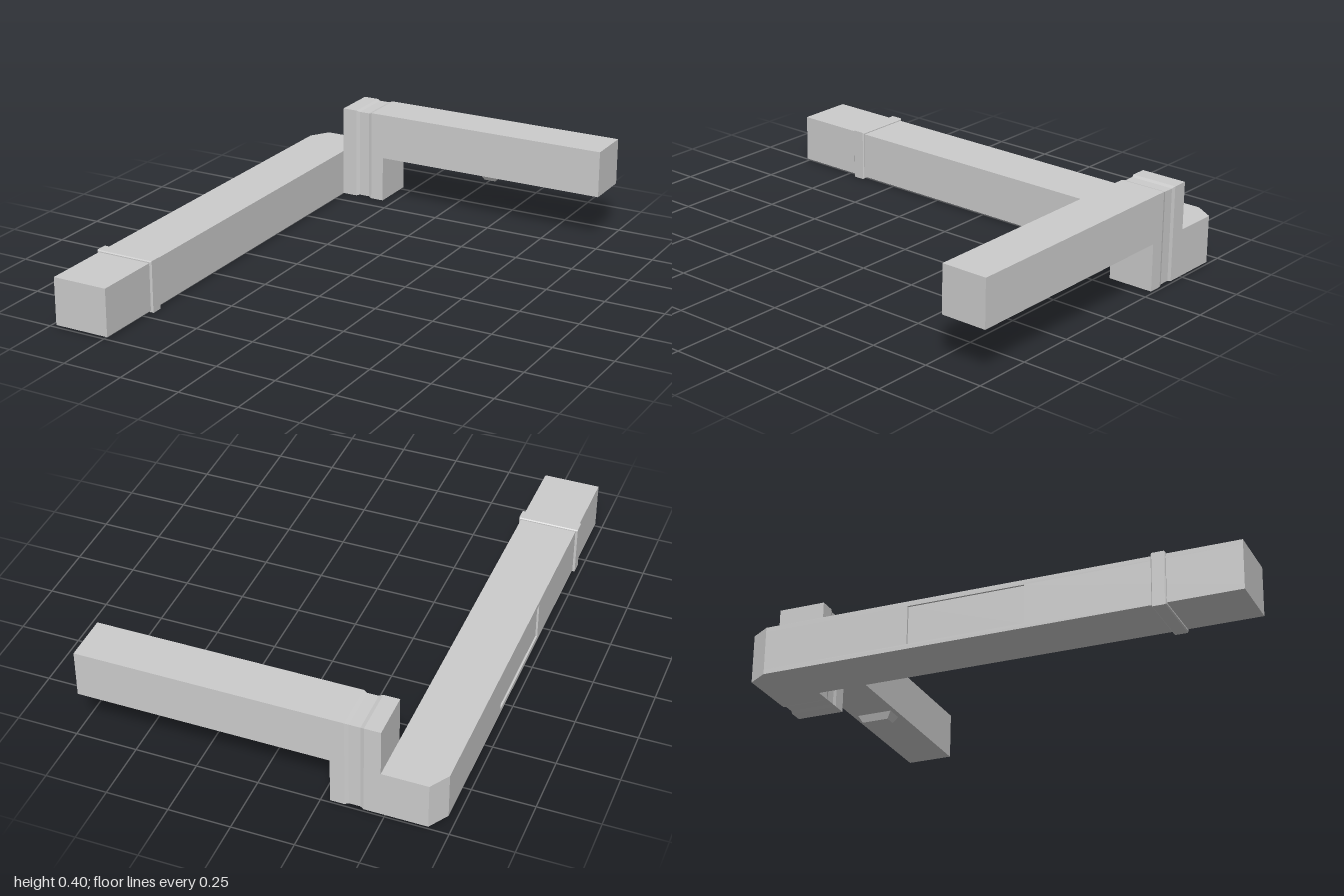
import * as THREE from 'three';

const grey = new THREE.MeshStandardMaterial({ color: 0xcccccc, flatShading: true });

// Solid through rectangular sections [t, u0, u1, v0, v1] along an axis.
// axis 0: (u,v) = (y,z), axis 1: (z,x), axis 2: (x,y)
function loft(axis, sections) {
  const pos = [];
  const point = (t, u, v) => {
    const p = [0, 0, 0];
    p[axis] = t;
    p[(axis + 1) % 3] = u;
    p[(axis + 2) % 3] = v;
    return p;
  };
  const loops = sections.map(([t, u0, u1, v0, v1]) =>
    [point(t, u0, v0), point(t, u1, v0), point(t, u1, v1), point(t, u0, v1)]);
  const quad = (a, b, c, d) => pos.push(...a, ...b, ...c, ...a, ...c, ...d);
  for (let i = 0; i < loops.length - 1; i++) {
    const a = loops[i], b = loops[i + 1];
    for (let k = 0; k < 4; k++) {
      const n = (k + 1) % 4;
      quad(a[k], a[n], b[n], b[k]);
    }
  }
  const first = loops[0], last = loops[loops.length - 1];
  quad(first[0], first[3], first[2], first[1]);
  quad(...last);
  const g = new THREE.BufferGeometry();
  g.setAttribute('position', new THREE.Float32BufferAttribute(pos, 3));
  g.computeVertexNormals();
  return g;
}

// Floor outline of [x, z] points raised from y0 to y1
function slab(outline, y0, y1) {
  const shape = new THREE.Shape(outline.map(([x, z]) => new THREE.Vector2(x, -z)));
  return new THREE.ExtrudeGeometry(shape, { depth: y1 - y0, bevelEnabled: false })
    .rotateX(-Math.PI / 2)
    .translate(0, y0, 0);
}

export function createModel() {
  const model = new THREE.Group();
  const add = (name, geometry, parent = model) => {
    const mesh = new THREE.Mesh(geometry, grey);
    mesh.name = name;
    parent.add(mesh);
  };

  // Long duct with a cut outer corner; its middle layer holds the side recess
  const longDuct = new THREE.Group();
  longDuct.name = 'longDuct';
  model.add(longDuct);
  const X0 = -0.72, X1 = -0.485;
  const corner = [[X0, -0.92], [-0.67, -1], [X1, -1], [X1, 1], [X0, 1]];
  const recess = [[X0, 0.157], [X0 + 0.008, 0.157], [X0 + 0.008, -0.316], [X0, -0.316]];
  add('ductBottom', slab(corner, 0.01, 0.03), longDuct);
  add('ductMiddle', slab([...corner, ...recess], 0.03, 0.187), longDuct);
  add('ductTop', slab(corner, 0.187, 0.207), longDuct);

  // Flange collar with softened edges
  const collar = (z, d) => [z, -0.729 + d, -0.476 - d, d, 0.215 - d];
  add('collar', loft(2, [
    collar(0.654, 0.004), collar(0.658, 0), collar(0.706, 0), collar(0.71, 0.004),
  ]));

  // Riser with a shallow groove, stepping into the raised cross duct
  const arm = (x, bottom, d = 0) => [x, bottom + d, 0.404 - d, -1 + d, -0.805 - d];
  add('riserAndCrossDuct', loft(0, [
    arm(-0.485, 0.01), arm(-0.42, 0.01), arm(-0.405, 0.01, 0.005),
    arm(-0.36, 0.01, 0.005), arm(-0.345, 0.01), arm(-0.288, 0.01),
    arm(-0.288, 0.207), arm(0.727, 0.207),
  ]));

  // Tapered outlet under the cross duct
  add('outlet', loft(1, [
    [0.178, -0.96, -0.845, 0.186, 0.236],
    [0.208, -0.978, -0.825, 0.173, 0.248],
  ]));

  return model;
}
